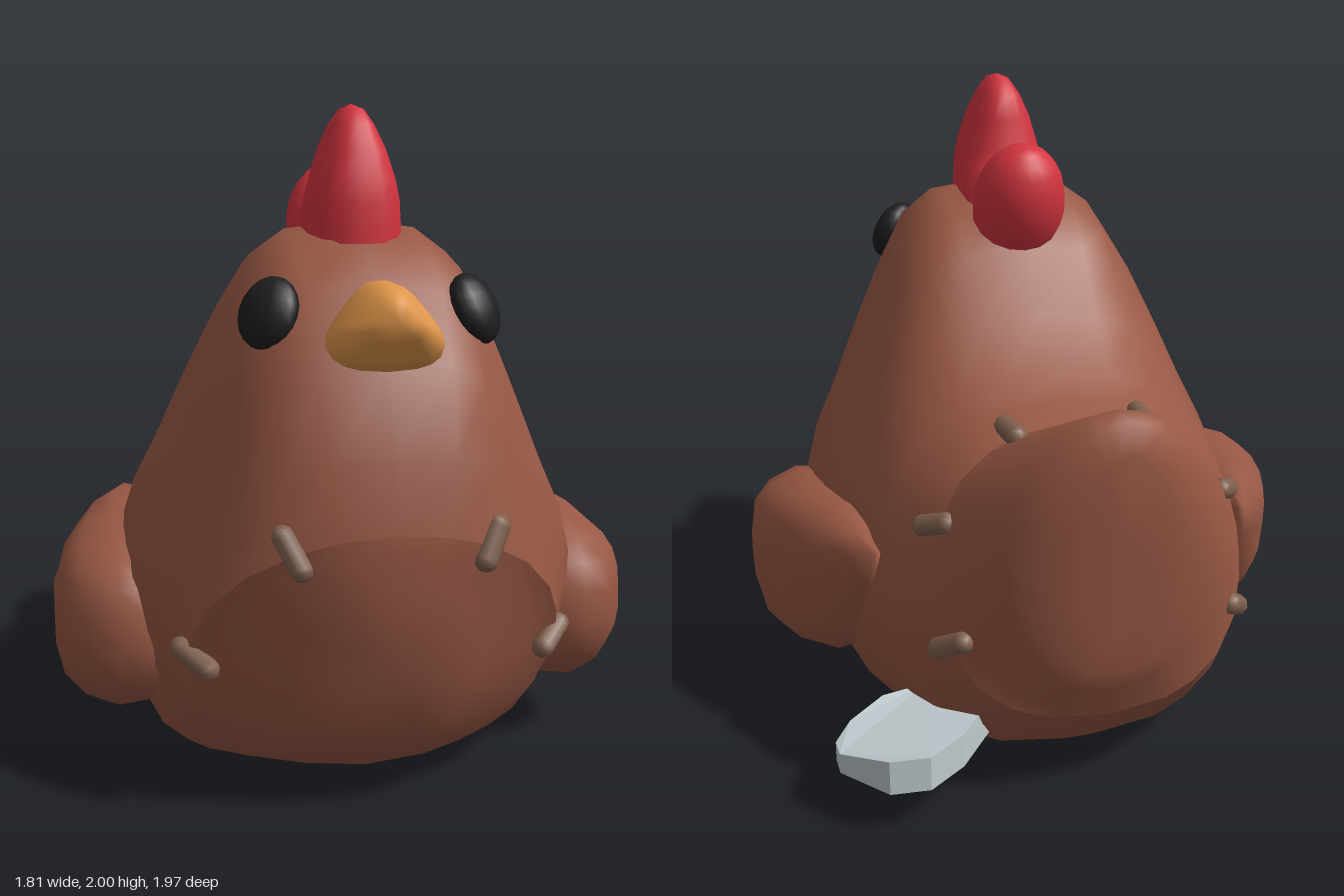
import * as THREE from 'three';
import { mergeVertices } from 'three/addons/utils/BufferGeometryUtils.js';

const mat = (name, color) => {
  const m = new THREE.MeshStandardMaterial({ color });
  m.name = name;
  return m;
};

// Skin a list of closed rings of [x, y, z]; optional points close the ends.
function loft(rings, startTip, endTip) {
  const n = rings[0].length, pos = rings.flat(2), idx = [];
  for (let i = 0; i < rings.length - 1; i++)
    for (let j = 0; j < n; j++) {
      const k = (j + 1) % n, a = i * n + j, b = i * n + k;
      idx.push(a, a + n, b, b, a + n, b + n);
    }
  const cap = (tip, base, flip) => {
    const c = pos.length / 3;
    pos.push(...tip);
    for (let j = 0; j < n; j++) {
      const a = base + j, b = base + (j + 1) % n;
      idx.push(c, flip ? b : a, flip ? a : b);
    }
  };
  if (startTip) cap(startTip, 0, false);
  if (endTip) cap(endTip, (rings.length - 1) * n, true);
  let g = new THREE.BufferGeometry();
  g.setAttribute('position', new THREE.Float32BufferAttribute(pos, 3));
  g.setIndex(idx);
  g = mergeVertices(g, 1e-4);
  g.computeVertexNormals();
  return g;
}

// Heights up a ring, and the pear-shaped width at each height
const T = [0, 0.025, 0.07, 0.15, 0.28, 0.42, 0.52, 0.62, 0.73, 0.85, 0.94, 0.985, 1];
const PEAR = [0.42, 0.75, 0.86, 0.945, 0.985, 1, 0.93, 0.815, 0.7, 0.565, 0.44, 0.29, 0];
const BEAK = [0, 0.5, 0.75, 0.92, 1, 0.95, 0.86, 0.75, 0.62, 0.46, 0.3, 0.15, 0];

// Leaning ring through a top and a bottom point; pear blends oval into pear,
// bend sweeps the sides backwards
function ring([topY, topZ, botY, botZ, half, pear = 0, power = 2.2, bend = 0], table = PEAR) {
  const right = T.map((t, i) => {
    const oval = Math.pow(Math.max(0, 1 - Math.pow(Math.abs(2 * t - 1), power)), 1 / power);
    const x = half * (oval * (1 - pear) + table[i] * pear);
    return [x, botY + (topY - botY) * t, botZ + (topZ - botZ) * t - bend * x * x];
  });
  return [...right, ...right.map(([x, y, z]) => [-x, y, z]).reverse()];
}

export function createModel() {
  const root = new THREE.Group();
  root.name = 'stitchedHen';
  const brown = mat('brownFabric', 0x985844);
  const thread = mat('threadBrown', 0x80614f);
  const red = mat('combRed', 0xd2343f);
  const orange = mat('beakOrange', 0xdf954a);
  const black = mat('eyeBlack', 0x1e1e1e);
  const steel = mat('steelGrey', 0xbfcace);
  const add = (name, geometry, material) => {
    const m = new THREE.Mesh(geometry, material);
    m.name = name;
    root.add(m);
    return m;
  };

  // Body between the two seams
  const chestSeam = [0.84, 0.98, 0.03, 0.6, 0.55, 0, 2.1, 0.25];
  const tailSeam = [1.1, -0.52, 0.28, -0.82, 0.47, 0, 2.4];
  add('body', loft([
    chestSeam,
    [1.05, 0.95, 0.01, 0.5, 0.61, 0.5, 2.2, 0.28],
    [1.3, 0.85, 0, 0.4, 0.65, 0.85, 2.2, 0.12],
    [1.5, 0.7, 0, 0.3, 0.68, 1],
    [1.62, 0.52, 0, 0.19, 0.69, 1],
    [1.66, 0.35, 0, 0.1, 0.69, 1],
    [1.61, 0.17, 0, 0, 0.69, 1],
    [1.5, 0.05, 0, -0.1, 0.685, 0.95],
    [1.32, -0.1, 0, -0.22, 0.68, 0.7],
    [1.18, -0.3, 0.01, -0.38, 0.63, 0.35],
    [1.13, -0.42, 0.05, -0.57, 0.56, 0.2, 2.3],
    tailSeam,
  ].map((r) => ring(r))), brown);

  // Chest patch
  add('chestPatch', loft([
    [0.7, 0.98, 0.2, 0.84, 0.28, 0, 2.2, 0.5],
    [0.8, 0.985, 0.09, 0.71, 0.45, 0, 2.2, 0.45],
    chestSeam,
  ].map((r) => ring(r)), [0, 0.45, 0.955]), brown);

  // Tail
  add('tail', loft([
    tailSeam,
    [1.19, -0.7, 0.3, -0.83, 0.41, 0, 2.2],
    [1.27, -0.86, 0.4, -0.88, 0.315, 0, 2.1],
    [1.265, -0.94, 0.46, -0.905, 0.235, 0, 2],
    [1.18, -0.98, 0.6, -0.92, 0.13, 0, 2],
  ].map((r) => ring(r)), null, [0, 0.9, -0.955]), brown);

  // Wings: outline [z, y] swelling outwards, thickest near the front
  const outline = [[0.53, 0.4], [0.49, 0.29], [0.4, 0.2], [0.18, 0.16], [0, 0.18], [-0.12, 0.23],
    [-0.25, 0.36], [-0.38, 0.59], [-0.41, 0.7], [-0.3, 0.735], [-0.15, 0.755], [0.1, 0.73],
    [0.3, 0.7], [0.43, 0.66], [0.5, 0.59], [0.52, 0.5]];
  const wingX = (z, d) => 0.57 + d * 0.335 * Math.min(1, 0.1 + 0.9 * Math.pow((z + 0.42) / 0.6, 0.48));
  const wingRings = [[0.38, 1], [0.68, 0.93], [0.88, 0.75], [1, 0.46], [0.97, 0.2], [0.9, 0]]
    .map(([s, d]) => outline.map(([z, y]) => {
      const pz = 0.13 + (z - 0.13) * s;
      return [wingX(pz, d), 0.45 + (y - 0.45) * s, pz];
    }));
  for (const side of [1, -1]) {
    const rings = side > 0 ? wingRings
      : wingRings.map((r) => r.map(([x, y, z]) => [-x, y, z]).reverse());
    add(side > 0 ? 'leftWing' : 'rightWing', loft(rings, [side * 0.905, 0.45, 0.17]), brown);
  }

  // Comb: tall front lobe from [y, halfWidth, backZ, frontZ], and a leaning rear lobe
  const squarish = (v) => Math.sign(v) * Math.pow(Math.abs(v), 0.85);
  const lobe = [[1.985, 0.035, 0.31, 0.43], [1.94, 0.065, 0.26, 0.475], [1.87, 0.098, 0.235, 0.51],
    [1.78, 0.127, 0.225, 0.535], [1.72, 0.14, 0.2, 0.545], [1.64, 0.15, 0.12, 0.55], [1.55, 0.15, 0.1, 0.55]]
    .map(([y, w, z0, z1]) => Array.from({ length: 16 }, (_, i) => {
      const a = i / 16 * Math.PI * 2;
      return [w * squarish(Math.cos(a)), y, (z0 + z1) / 2 - (z1 - z0) / 2 * squarish(Math.sin(a))];
    }));
  add('frontCombLobe', loft(lobe, [0, 2, 0.37]), red);
  const rear = add('rearCombLobe', new THREE.SphereGeometry(1, 16, 12), red);
  rear.scale.set(0.15, 0.215, 0.143);
  rear.position.set(0, 1.622, 0.115);
  rear.rotation.x = -0.44;

  // Beak
  add('beak', loft([
    [1.475, 0.965, 1.365, 0.955, 0.075, 1],
    [1.5, 0.91, 1.31, 0.91, 0.125, 1],
    [1.515, 0.84, 1.273, 0.86, 0.16, 1],
    [1.515, 0.76, 1.27, 0.79, 0.167, 1],
    [1.5, 0.66, 1.28, 0.66, 0.13, 1],
  ].map((r) => ring(r, BEAK)), [0, 1.42, 0.985]), orange);

  // Stitch: a small capsule between two points
  const stitch = (name, a, b) => {
    const dir = b.clone().sub(a);
    const m = add(name, new THREE.CapsuleGeometry(0.034, dir.length() - 0.05, 4, 8), thread);
    m.position.copy(a).add(b).multiplyScalar(0.5);
    m.quaternion.setFromUnitVectors(new THREE.Vector3(0, 1, 0), dir.normalize());
  };
  const stitches = [
    ['upperChestStitch', [0.315, 0.86, 0.905], [0.25, 0.73, 0.955]],
    ['lowerChestStitch', [0.58, 0.485, 0.69], [0.48, 0.415, 0.785]],
    ['topTailStitch', [0.21, 1.095, -0.44], [0.195, 1.095, -0.58]],
    ['upperTailStitch', [0.495, 0.835, -0.53], [0.415, 0.885, -0.64]],
    ['lowerTailStitch', [0.485, 0.495, -0.665], [0.405, 0.57, -0.775]],
  ];
  for (const side of [1, -1]) {
    const label = side > 0 ? 'left' : 'right';
    // Eyes: flattened ovals lying on the head
    const eye = add(label + 'Eye', new THREE.SphereGeometry(1, 16, 10), black);
    eye.scale.set(0.095, 0.108, 0.06);
    eye.position.set(side * 0.3, 1.42, 0.667);
    eye.lookAt(side * (0.3 + 0.66), 1.42 + 0.42, 0.667 + 0.62);
    for (const [name, a, b] of stitches)
      stitch(label + name[0].toUpperCase() + name.slice(1),
        new THREE.Vector3(side * a[0], a[1], a[2]), new THREE.Vector3(side * b[0], b[1], b[2]));
  }

  // Steel plate sticking out behind the left wing, drawn as [x, z], thinner at its outer edge
  const plate = new THREE.Shape([[0.3, -0.6], [0.42, -0.76], [0.54, -0.85], [0.66, -0.84], [0.78, -0.69],
    [0.78, -0.62], [0.72, -0.53], [0.6, -0.43], [0.45, -0.39]].map(([x, z]) => new THREE.Vector2(x, -z)));
  const slab = new THREE.ExtrudeGeometry(plate, { depth: 0.07, bevelEnabled: false });
  slab.rotateX(-Math.PI / 2);
  const p = slab.attributes.position, clamp = THREE.MathUtils.clamp;
  for (let i = 0; i < p.count; i++) {
    const top = p.getY(i) > 0.03, back = clamp((-0.4 - p.getZ(i)) / 0.25, 0, 1);
    const outer = clamp((p.getX(i) - 0.66) / 0.12, 0, 1);
    p.setY(i, top ? 0.215 + 0.035 * back - 0.045 * outer : 0.14 + 0.04 * Math.max(0, 1 - back * 2));
  }
  slab.computeVertexNormals();
  add('steelPlate', slab, steel);

  return root;
}
